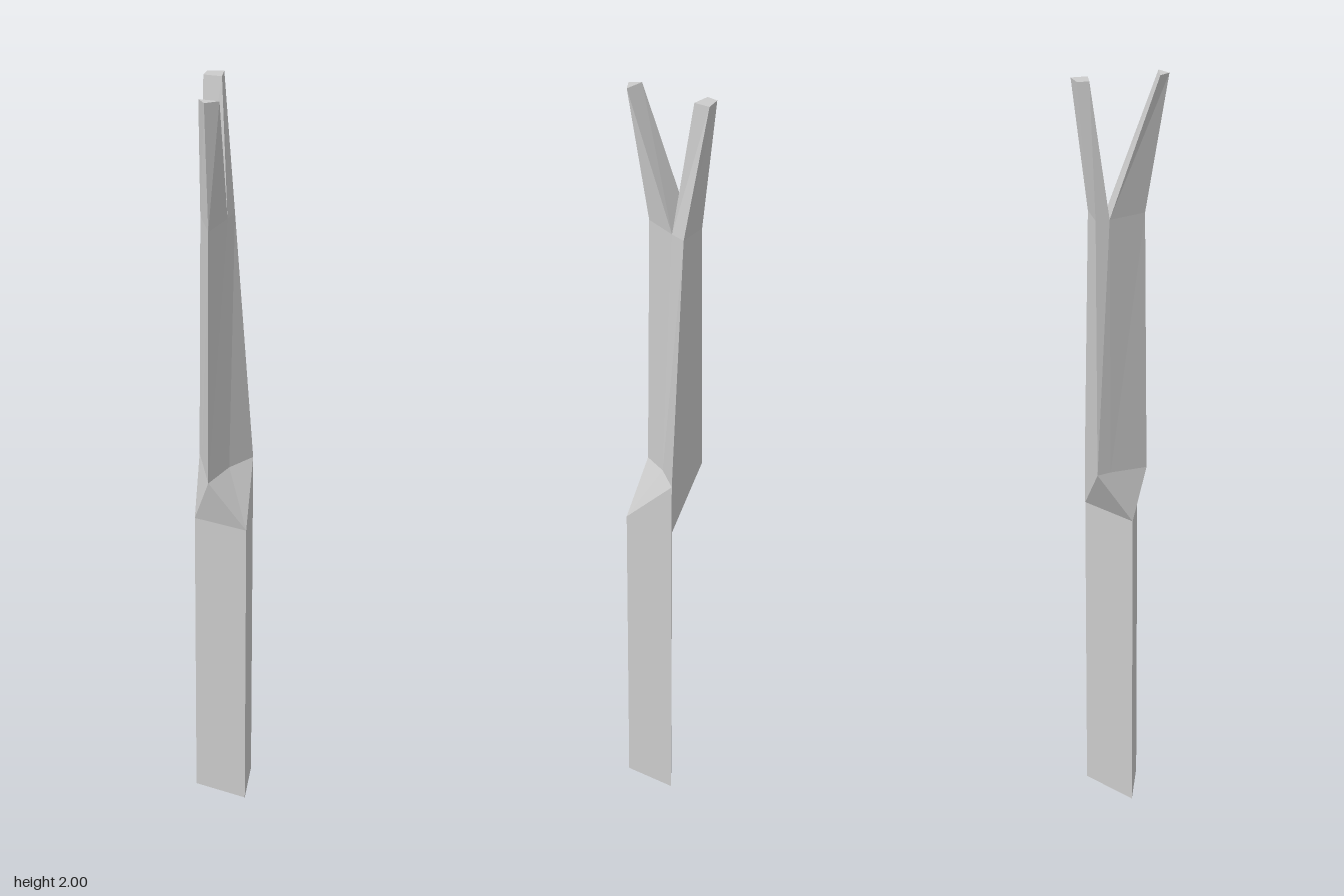
import * as THREE from 'three';

const material = new THREE.MeshStandardMaterial({ color: 0xcccccc, flatShading: true });

// Lift a list of [x, z] corners to height y
const ring = (y, pts) => pts.map(([x, z]) => new THREE.Vector3(x, y, z));

// Fan each convex polygon into triangles
const fan = (poly) => poly.slice(2).flatMap((p, i) => [poly[0], poly[i + 1], p]);

// Side quads between two rings with equal corner counts
const sides = (a, b) => a.map((p, i) => {
  const j = (i + 1) % a.length;
  return [p, a[j], b[j], b[i]];
});

function part(name, polygons) {
  const geometry = new THREE.BufferGeometry().setFromPoints(polygons.flatMap(fan));
  geometry.computeVertexNormals();
  const mesh = new THREE.Mesh(geometry, material);
  mesh.name = name;
  return mesh;
}

export function createModel() {
  const group = new THREE.Group();
  group.name = 'forkedPost';

  // Three-sided lower post
  const plan = [[-0.07, 0.02], [0.07, 0.068], [0.07, -0.072]];
  const foot = ring(0, plan), neck = ring(0.84, plan);

  // Five-cornered upper trunk
  const waist = ring(0.98, [[-0.07, -0.072], [-0.059, -0.035], [-0.028, 0.067], [0.016, -0.008], [0.07, -0.072]]);
  waist[2].y = 0.97;
  const fork = ring(1.655, [[-0.06, -0.072], [-0.06, -0.037], [-0.027, 0.06], [0.008, -0.03], [0.021, -0.072]]);

  // Prong tips
  const frontTip = ring(2, [[-0.045, 0.091], [-0.028, 0.118], [0.006, 0.1]]);
  const backTip = ring(2, [[-0.053, -0.115], [-0.058, -0.085], [-0.012, -0.078], [-0.012, -0.12]]);

  group.add(part('lowerPost', [...sides(foot, neck), [...foot].reverse()]));

  // Twisted joint from three corners to five
  const [l, n, r] = neck;
  const [q, s, m, p, k] = waist;
  group.add(part('joint', [
    [l, n, m], [n, p, m], [n, k, p], [n, r, k], [r, q, k], [r, l, q], [l, s, q], [l, m, s],
  ]));

  group.add(part('upperTrunk', sides(waist, fork)));

  // Two prongs share the crotch edge
  const frontBase = [fork[1], fork[2], fork[3]];
  const backBase = [fork[0], fork[1], fork[3], fork[4]];
  group.add(part('frontProng', [...sides(frontBase, frontTip), frontTip]));
  group.add(part('backProng', [...sides(backBase, backTip), backTip]));

  return group;
}
